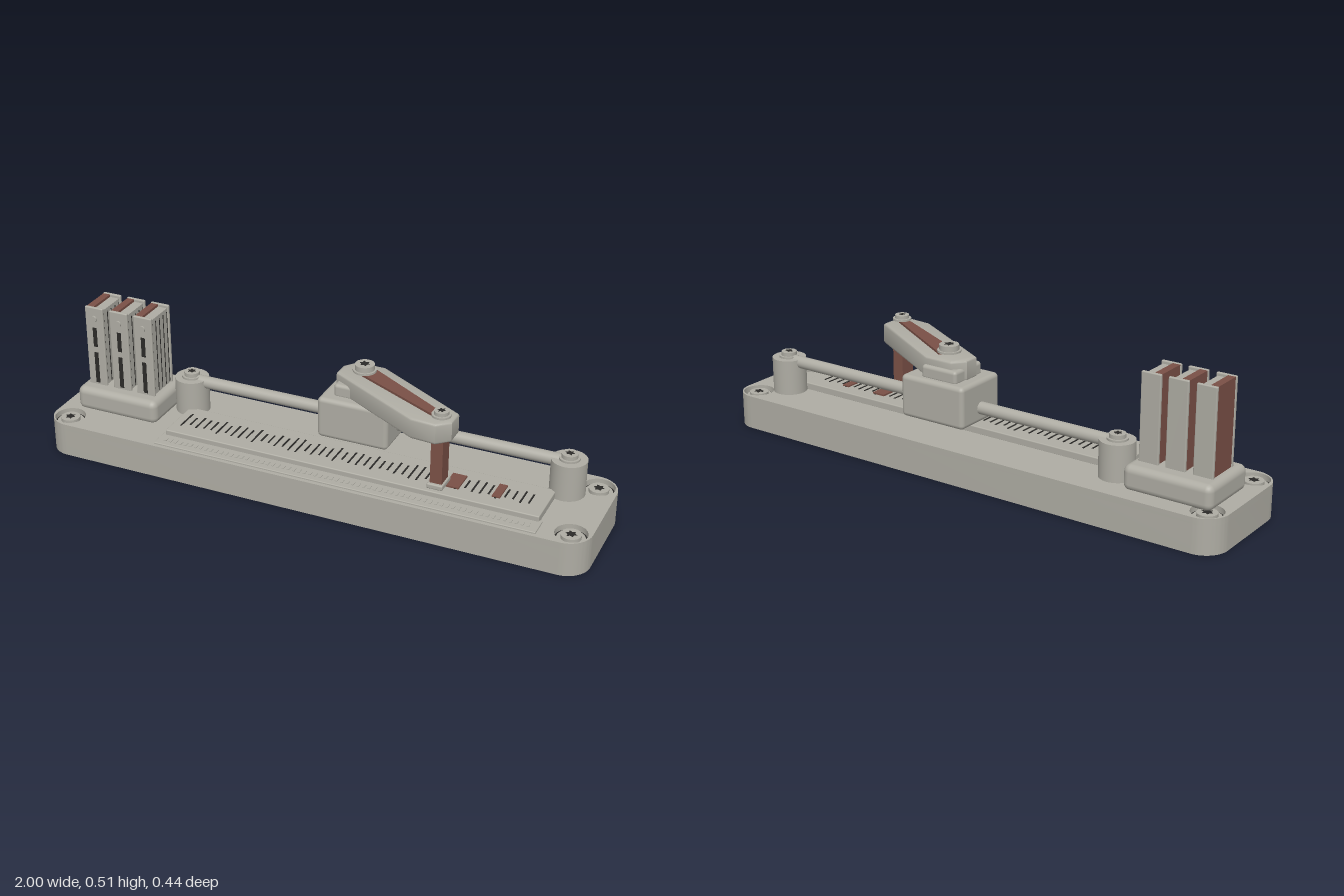
import * as THREE from 'three';
import { toCreasedNormals } from 'three/addons/utils/BufferGeometryUtils.js';
import { RoundedBoxGeometry } from 'three/addons/geometries/RoundedBoxGeometry.js';

const mat = (name, color) => {
  const m = new THREE.MeshStandardMaterial({ color });
  m.name = name;
  return m;
};

export function createModel() {
  const grey = mat('warm grey', 0xaeaca3);
  const brown = mat('red brown', 0x7a5046);
  const dark = mat('dark slot', 0x2b2a28);
  const root = new THREE.Group();
  root.name = 'linearSorter';

  const add = (name, geo, material, x = 0, y = 0, z = 0, parent = root) => {
    const m = new THREE.Mesh(geo, material);
    m.name = name;
    m.position.set(x, y, z);
    parent.add(m);
    return m;
  };
  // boxes given by their limits on each axis
  const box = (name, material, [x0, x1], [y0, y1], [z0, z1], r = 0, parent = root) => {
    const s = [x1 - x0, y1 - y0, z1 - z0];
    const geo = r ? new RoundedBoxGeometry(...s, 3, r) : new THREE.BoxGeometry(...s);
    return add(name, geo, material, (x0 + x1) / 2, (y0 + y1) / 2, (z0 + z1) / 2, parent);
  };
  const disc = (name, material, r, x, y0, y1, z, sides = 32, parent = root) =>
    add(name, new THREE.CylinderGeometry(r, r, y1 - y0, sides), material, x, (y0 + y1) / 2, z, parent);
  // plan outline (x, -z) pulled upward from y0 to y1
  const slab = (name, material, shape, y0, y1, bevel = 0) => {
    const geo = new THREE.ExtrudeGeometry(shape, {
      depth: y1 - y0 - 2 * bevel, curveSegments: 10, bevelEnabled: bevel > 0,
      bevelSize: bevel, bevelOffset: -bevel, bevelThickness: bevel, bevelSegments: 3,
    });
    geo.rotateX(-Math.PI / 2);
    return add(name, toCreasedNormals(geo, 0.6), material, 0, y0 + bevel, 0);
  };
  const roundedPlan = (hx, hz, r) => {
    const s = new THREE.Shape();
    s.absarc(hx - r, hz - r, r, 0, Math.PI / 2);
    s.absarc(-hx + r, hz - r, r, Math.PI / 2, Math.PI);
    s.absarc(-hx + r, -hz + r, r, Math.PI, Math.PI * 1.5);
    s.absarc(hx - r, -hz + r, r, Math.PI * 1.5, Math.PI * 2);
    return s;
  };
  // washer, head and star socket
  const screw = (name, x, y, z, rWasher, rHead, h) => {
    const g = new THREE.Group();
    g.name = name;
    g.position.set(x, y, z);
    root.add(g);
    disc('washer', grey, rWasher, 0, 0, 0.007, 0, 32, g);
    disc('head', grey, rHead, 0, 0.007, h, 0, 32, g);
    const star = new THREE.Shape();
    for (let i = 0; i < 12; i++) {
      const a = (i * Math.PI) / 6, r = rHead * (i % 2 ? 0.36 : 0.6);
      i ? star.lineTo(r * Math.cos(a), r * Math.sin(a)) : star.moveTo(r, 0);
    }
    const socket = add('socket', new THREE.ShapeGeometry(star), dark, 0, h + 0.001, 0, g);
    socket.rotation.x = -Math.PI / 2;
  };

  // base with countersunk corner screws
  slab('baseLower', grey, roundedPlan(1, 0.222, 0.085), 0, 0.1);
  const deck = roundedPlan(1, 0.222, 0.085);
  for (const sx of [-1, 1]) for (const sz of [-1, 1]) {
    const hole = new THREE.Path();
    hole.absarc(sx * 0.933, sz * 0.155, 0.055, 0, Math.PI * 2, true);
    deck.holes.push(hole);
    disc('screwRecess', dark, 0.054, sx * 0.933, 0.1, 0.103, sz * 0.155);
    screw('cornerScrew', sx * 0.933, 0.1, sz * 0.155, 0.047, 0.034, 0.02);
  }
  slab('baseDeck', grey, deck, 0.1, 0.123);

  // scale plate with staggered marks, and the low ledge before it
  box('scalePlate', grey, [-0.55, 0.82], [0.12, 0.148], [-0.04, 0.143], 0.004);
  box('frontLedge', grey, [-0.562, 0.83], [0.12, 0.129], [0.13, 0.208], 0.003);
  for (let i = 0; i < 47; i++) {
    const x = -0.515 + i * 0.0278;
    const half = [0.045, 0.03, 0.038, 0.026][(i * 3 + (i >> 2)) % 4];
    box('scaleMark', dark, [x - 0.003, x + 0.003], [0.147, 0.1495], [0.05 - half, 0.05 + half]);
  }
  for (let i = 0; i < 68; i++) {
    const x = -0.53 + i * 0.0198;
    box('ledgeNotch', grey, [x - 0.004, x + 0.004], [0.128, 0.131], [0.165, 0.185]);
  }
  box('wideTile', brown, [0.475, 0.525], [0.147, 0.154], [0.008, 0.093]);
  box('narrowTile', brown, [0.64, 0.668], [0.147, 0.153], [0.008, 0.09]);

  // guide rail on two posts
  const railZ = -0.08;
  const rail = add('guideRail', new THREE.CylinderGeometry(0.022, 0.022, 1.4, 32), grey, 0.142, 0.24, railZ);
  rail.rotation.z = Math.PI / 2;
  for (const x of [-0.56, 0.845]) {
    disc('railPost', grey, 0.061, x, 0.12, 0.252, railZ, 40);
    screw('postScrew', x, 0.252, railZ, 0.036, 0.028, 0.021);
  }

  // carriage and its swinging arm
  box('carriage', grey, [-0.02, 0.24], [0.187, 0.338], [-0.187, 0.027], 0.016);
  box('armHub', grey, [0.025, 0.17], [0.33, 0.38], [-0.163, -0.012], 0.012);
  const arm = new THREE.Shape([
    [0.02, -0.105], [0.055, -0.15], [0.16, -0.15], [0.502, 0.05],
    [0.502, 0.115], [0.46, 0.155], [0.37, 0.148], [0.02, -0.05],
  ].map(([x, z]) => new THREE.Vector2(x, -z)));
  slab('arm', grey, arm, 0.332, 0.409, 0.01);
  const strip = new THREE.Shape([
    [0.13, -0.115], [0.46, 0.085], [0.445, 0.115], [0.1, -0.06],
  ].map(([x, z]) => new THREE.Vector2(x, -z)));
  slab('armStrip', brown, strip, 0.408, 0.417);
  screw('pivotScrew', 0.11, 0.417, -0.083, 0.041, 0.034, 0.026);
  screw('tipScrew', 0.46, 0.417, 0.103, 0.033, 0.025, 0.019);

  // hanging picker
  box('pickerStem', brown, [0.438, 0.48], [0.174, 0.335], [0.073, 0.132]);
  box('pickerFoot', grey, [0.43, 0.486], [0.157, 0.176], [0.062, 0.143], 0.005);

  // magazine holding three cassettes
  box('magazineBase', grey, [-0.945, -0.623], [0.115, 0.205], [-0.158, 0.086], 0.025);
  for (const cx of [-0.882, -0.783, -0.686]) {
    const g = new THREE.Group();
    g.name = 'cassette';
    g.position.x = cx;
    root.add(g);
    const b = (name, m, x, y, z, r) => box(name, m, x, y, z, r, g);
    b('frontFlange', grey, [-0.036, 0.036], [0.2, 0.508], [0.024, 0.036], 0.004);
    b('backFlange', grey, [-0.036, 0.036], [0.2, 0.508], [-0.1, -0.088], 0.004);
    b('card', brown, [-0.033, -0.006], [0.2, 0.506], [-0.09, 0.026]);
    b('ribbedPanel', grey, [-0.006, 0.03], [0.2, 0.497], [-0.09, 0.026]);
    for (let i = 0; i < 5; i++) {
      const z = 0.02 - i * 0.0262;
      b('panelSlot', dark, [0.026, 0.031], [0.21, 0.484], [z - 0.0018, z + 0.0018]);
    }
    b('upperSlot', dark, [-0.008, 0.008], [0.355, 0.43], [0.033, 0.037]);
    b('lowerSlot', dark, [-0.008, 0.008], [0.212, 0.333], [0.033, 0.037]);
    const knob = disc('knob', grey, 0.012, 0, 0.46, 0.47, 0.038, 24, g);
    knob.rotation.x = Math.PI / 2;
  }
  return root;
}
